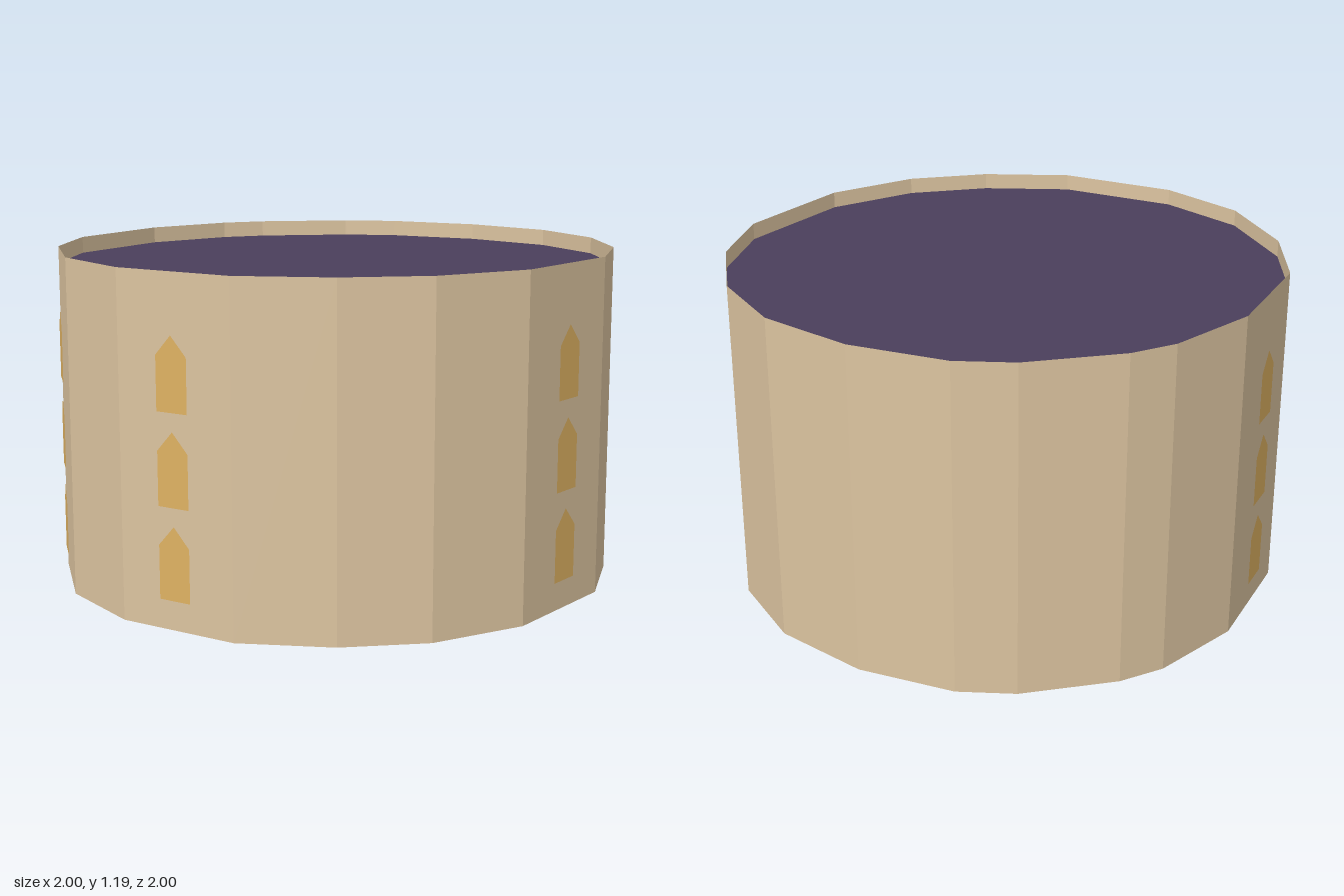
import * as THREE from 'three';

// Irregular 18-sided plan outline [x, z]
const OUTLINE = [
  [0.145, -1], [0.31, -0.96], [0.62, -0.795], [0.77, -0.65], [0.935, -0.335], [1, 0.02],
  [0.935, 0.355], [0.75, 0.66], [0.5, 0.87], [0.04, 1], [-0.31, 0.955], [-0.585, 0.81],
  [-0.83, 0.58], [-1, 0.165], [-1, -0.19], [-0.85, -0.54], [-0.62, -0.795], [-0.2, -0.98],
];
const HEIGHT = 1.19;
const ROOF_Y = 1.13;
const WINDOW_SIDES = [9 - 1, 12, 14, 16]; // wall sides that carry a window column
const WINDOW_BASES = [0.105, 0.42, 0.735];

function material(name, color, side = THREE.DoubleSide) {
  const m = new THREE.MeshStandardMaterial({ color, side, flatShading: true });
  m.name = name;
  return m;
}

function named(name, geometry, mat) {
  const mesh = new THREE.Mesh(geometry, mat);
  mesh.name = name;
  return mesh;
}

// Open tube of flat panels following the outline
function wallGeometry() {
  const pos = [];
  OUTLINE.forEach(([ax, az], i) => {
    const [bx, bz] = OUTLINE[(i + 1) % OUTLINE.length];
    pos.push(bx, 0, bz, ax, 0, az, ax, HEIGHT, az);
    pos.push(bx, 0, bz, ax, HEIGHT, az, bx, HEIGHT, bz);
  });
  const g = new THREE.BufferGeometry();
  g.setAttribute('position', new THREE.Float32BufferAttribute(pos, 3));
  g.computeVertexNormals();
  return g;
}

export function createModel() {
  const group = new THREE.Group();
  group.name = 'roundTower';
  const stone = material('sandStone', 0xdcc4a0);
  const slate = material('purpleRoof', 0x4a3f5c);
  const amber = material('amberWindow', 0xdfb262);

  group.add(named('wall', wallGeometry(), stone));

  // Flat roof sunk a little below the rim
  const plan = new THREE.Shape(OUTLINE.map(([x, z]) => new THREE.Vector2(x, -z)));
  const roof = named('roof', new THREE.ShapeGeometry(plan).rotateX(-Math.PI / 2), slate);
  roof.position.y = ROOF_Y;
  group.add(roof);

  // Pointed windows, three to a column
  const pane = new THREE.ShapeGeometry(new THREE.Shape([
    [-0.061, 0], [0.061, 0], [0.061, 0.185], [0, 0.252], [-0.061, 0.185],
  ].map(([x, y]) => new THREE.Vector2(x, y))));
  for (const side of WINDOW_SIDES) {
    const [ax, az] = OUTLINE[side];
    const [bx, bz] = OUTLINE[(side + 1) % OUTLINE.length];
    const normal = new THREE.Vector3(az - bz, 0, bx - ax).normalize();
    const column = new THREE.Group();
    column.name = 'windowColumn';
    column.position.set((ax + bx) / 2, 0, (az + bz) / 2);
    // Outline runs right to left seen from outside, so flip to face out
    if (normal.dot(column.position) < 0) normal.negate();
    column.position.addScaledVector(normal, 0.012);
    column.rotation.y = Math.atan2(normal.x, normal.z);
    for (const y of WINDOW_BASES) {
      const w = named('window', pane, amber);
      w.position.y = y;
      column.add(w);
    }
    group.add(column);
  }
  return group;
}
